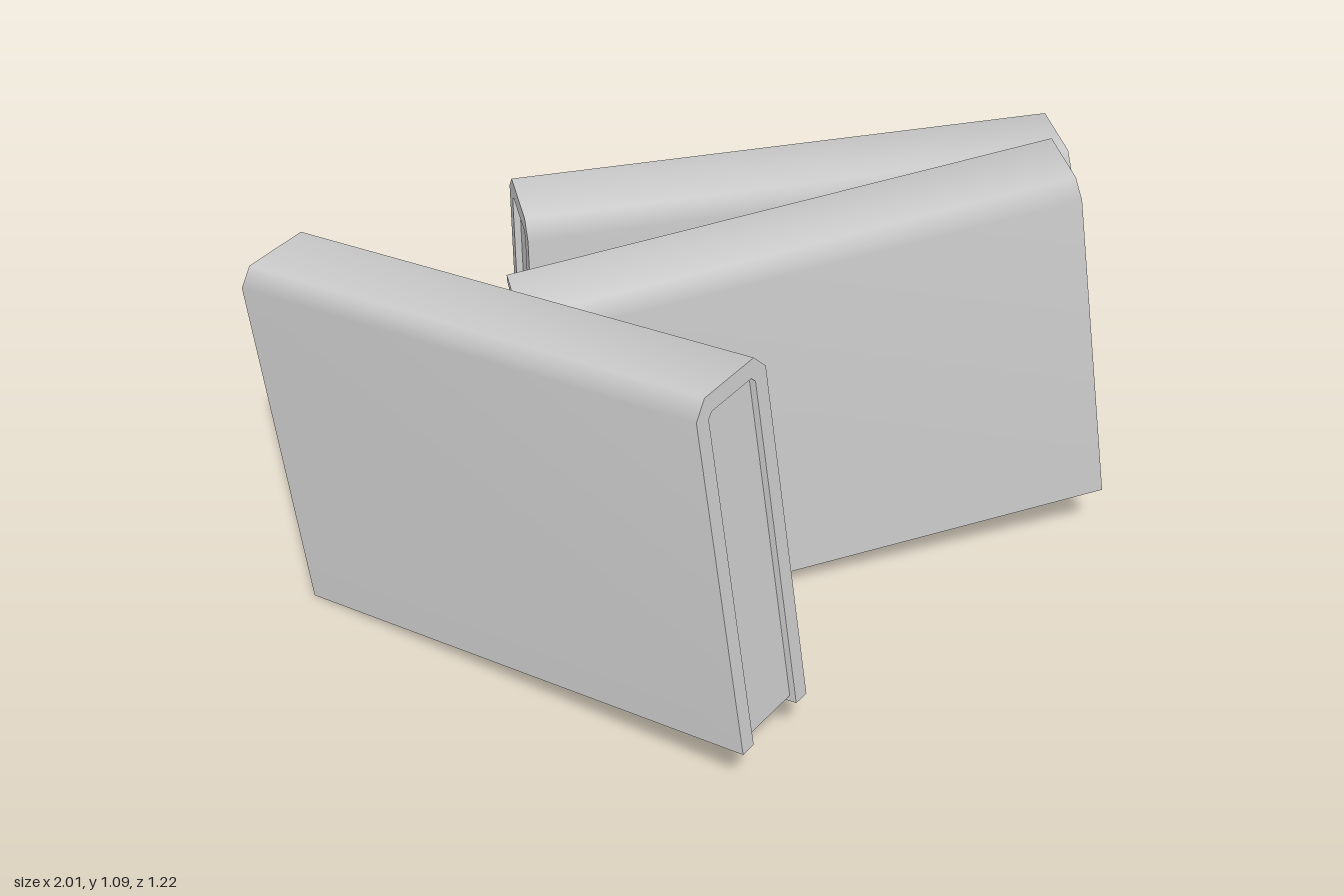
import * as THREE from 'three';
import { mergeGeometries } from 'three/addons/utils/BufferGeometryUtils.js';

const LENGTH = 1.3, H = 0.455, W = 0.123; // book length, half height, half thickness
const material = new THREE.MeshStandardMaterial({ color: 0xcccccc });

// Cross-sections: outside of the cover with its chamfered spine, and the hollow inside
const outer = [[W, -H], [W, H - 0.04], [0.087, H], [-0.087, H], [-W, H - 0.04], [-W, -H]];
const inner = [[-0.083, -H], [-0.083, H - 0.055], [-0.07, H - 0.042],
  [0.07, H - 0.042], [0.083, H - 0.055], [0.083, -H]];

const shapeOf = points => new THREE.Shape(points.map(([x, y]) => new THREE.Vector2(x, y)));

// Sweeps an open section along z, with smooth normals across its bends
function strip(points) {
  const positions = [], uvs = [], index = [];
  points.forEach(([x, y], i) => {
    positions.push(x, y, -LENGTH / 2, x, y, LENGTH / 2);
    uvs.push(i, 0, i, 1);
    if (i > 0) {
      const a = 2 * i - 2, b = 2 * i;
      index.push(a, b, b + 1, a, b + 1, a + 1);
    }
  });
  const geometry = new THREE.BufferGeometry();
  geometry.setAttribute('position', new THREE.Float32BufferAttribute(positions, 3));
  geometry.setAttribute('uv', new THREE.Float32BufferAttribute(uvs, 2));
  geometry.setIndex(index);
  geometry.computeVertexNormals();
  return geometry;
}

// Cover: outside, inside, two lower rims and the two end faces
function coverGeometry() {
  const front = new THREE.ShapeGeometry(shapeOf([...outer, ...inner]));
  const back = front.clone().rotateY(Math.PI); // section is symmetric
  front.translate(0, 0, LENGTH / 2);
  back.translate(0, 0, -LENGTH / 2);
  return mergeGeometries([
    strip(outer), strip(inner),
    strip([outer[5], inner[0]]), strip([inner[5], outer[0]]),
    front, back,
  ]).rotateY(Math.PI / 2);
}

// Page block: fills the cover, set back at both ends and below
function pagesGeometry() {
  const section = inner.map(([x, y]) => [x, y === -H ? -H + 0.016 : y]).reverse();
  const depth = LENGTH - 0.032;
  return new THREE.ExtrudeGeometry(shapeOf(section), { depth, bevelEnabled: false })
    .translate(0, 0, -depth / 2).rotateY(Math.PI / 2);
}

export function createModel() {
  const model = new THREE.Group();
  model.name = 'books';
  const cover = coverGeometry(), pages = pagesGeometry();

  function addBook(name, position, turn, tilt) {
    const book = new THREE.Group();
    book.name = name;
    for (const [part, geometry] of [['cover', cover], ['pages', pages]]) {
      const mesh = new THREE.Mesh(geometry, material);
      mesh.name = part;
      book.add(mesh);
    }
    book.position.set(...position);
    book.rotation.set(0, turn, tilt);
    model.add(book);
  }

  // One level book, one tilted beside it, one tilted and turned
  addBook('levelBook', [0.295, 0.545, -0.468], 0, 0);
  addBook('tiltedBook', [0.295, 0.543, -0.223], 0, 0.1425);
  addBook('turnedBook', [-0.449, 0.543, -0.003], -0.854, 0.1425);
  return model;
}
